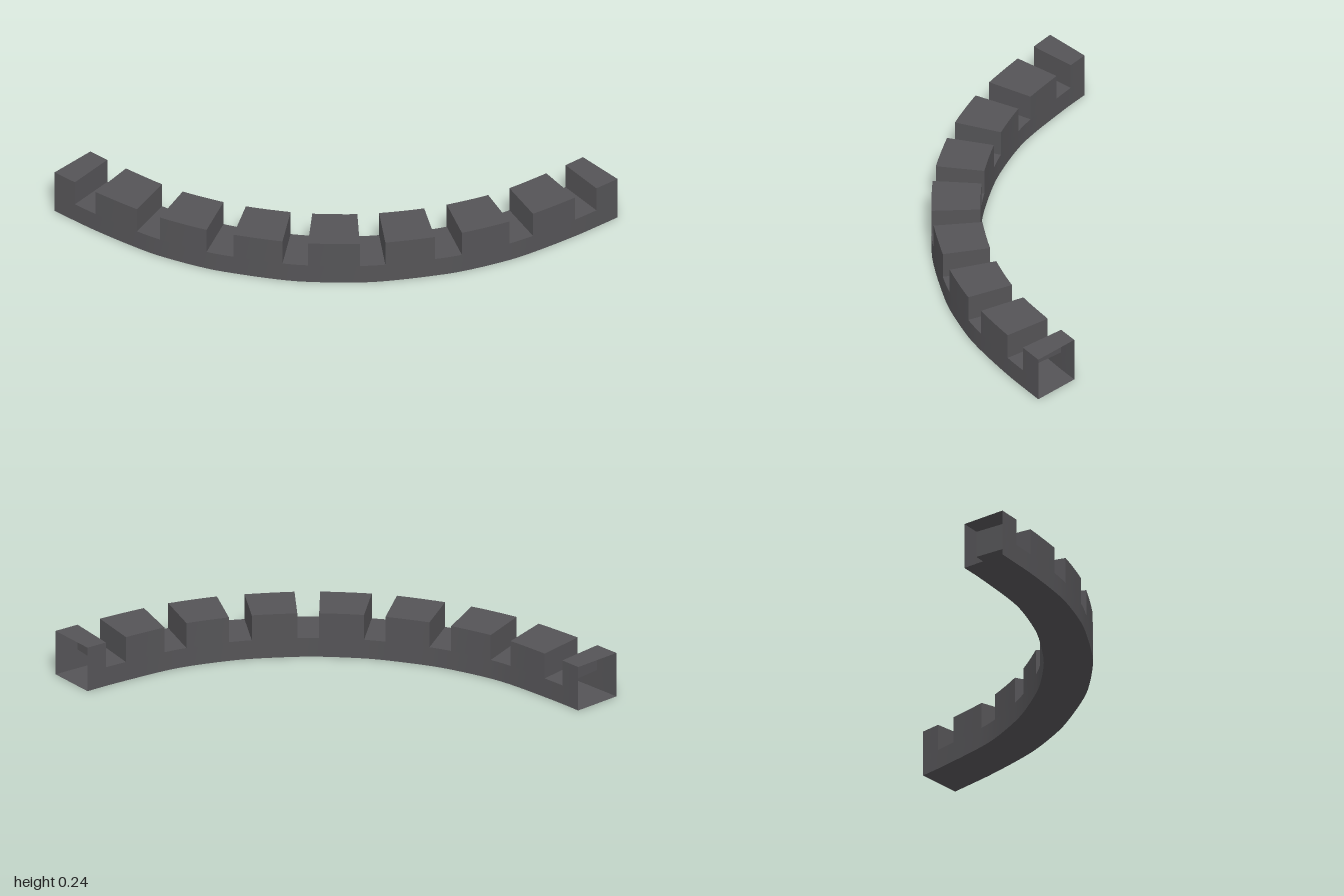
import * as THREE from 'three';
import { mergeGeometries } from 'three/addons/utils/BufferGeometryUtils.js';

const TOP = 0.243, FLOOR = 0.104;

// Half of each plan curve as (x, z) at the notch edges; the other half mirrors across x = z.
const OUTER = [[-1, 0.998], [-0.87, 0.981], [-0.74, 0.962], [-0.494, 0.912], [-0.365, 0.876],
  [-0.128, 0.778], [-0.006, 0.709], [0.205, 0.57], [0.305, 0.489]];
const INNER = [[-1, 0.748], [-0.891, 0.735], [-0.775, 0.717], [-0.556, 0.677], [-0.44, 0.644],
  [-0.235, 0.557], [-0.132, 0.501], [0.058, 0.372], [0.143, 0.303]];
const STEPS = OUTER.length * 2 - 1;

function planCurve(half) {
  const all = [...half, ...half.map(([x, z]) => [z, x]).reverse()];
  return new THREE.CatmullRomCurve3(all.map(([x, z]) => new THREE.Vector3(x, 0, z)));
}

const outerCurve = planCurve(OUTER), innerCurve = planCurve(INNER);

// A rail follows one plan curve at height y, from notch edge a to notch edge b.
const rail = (curve, y, a, b) => (s) => curve.getPoint((a + (b - a) * s) / STEPS).setY(y);

// Smooth ribbon of quads between two rails.
function ribbon(railA, railB, n) {
  const pos = [], index = [];
  for (let i = 0; i <= n; i++) {
    pos.push(...railA(i / n).toArray(), ...railB(i / n).toArray());
    if (i < n) {
      const k = i * 2;
      index.push(k, k + 2, k + 3, k, k + 3, k + 1);
    }
  }
  const g = new THREE.BufferGeometry();
  g.setAttribute('position', new THREE.Float32BufferAttribute(pos, 3));
  g.setIndex(index);
  g.computeVertexNormals();
  return g;
}

// Vertical wall across the band at notch edge u; dir is the way it faces along the curve.
function crossWall(u, dir) {
  const post = (curve) => (s) => curve.getPoint(u / STEPS).setY(FLOOR + (TOP - FLOOR) * s);
  return dir > 0 ? ribbon(post(innerCurve), post(outerCurve), 1)
    : ribbon(post(outerCurve), post(innerCurve), 1);
}

// Outer and inner side faces between two heights.
function sides(a, b, y0, y1, n) {
  return [
    ribbon(rail(outerCurve, y0, a, b), rail(outerCurve, y1, a, b), n),
    ribbon(rail(innerCurve, y1, a, b), rail(innerCurve, y0, a, b), n),
  ];
}

const cap = (y, a, b, n) => ribbon(rail(outerCurve, y, a, b), rail(innerCurve, y, a, b), n);

export function createModel() {
  const group = new THREE.Group();
  group.name = 'curvedBattlement';
  const stone = new THREE.MeshStandardMaterial({ color: 0x555457, side: THREE.DoubleSide });
  stone.name = 'darkGreyStone';

  const add = (name, parts) => {
    const mesh = new THREE.Mesh(mergeGeometries(parts), stone);
    mesh.name = name;
    group.add(mesh);
  };

  // Hollow lower band, open at both ends
  const n = STEPS * 4;
  add('lowerBand', [
    ...sides(0, STEPS, 0, FLOOR, n),
    ribbon(rail(innerCurve, 0, 0, STEPS), rail(outerCurve, 0, 0, STEPS), n),
  ]);

  // Raised blocks alternate with notch floors along the curve
  for (let i = 0; i < STEPS; i++) {
    if (i % 2) {
      add('notchFloor', [cap(FLOOR, i, i + 1, 4)]);
      continue;
    }
    const parts = [...sides(i, i + 1, FLOOR, TOP, 4), cap(TOP, i, i + 1, 4)];
    if (i > 0) parts.push(crossWall(i, -1));
    if (i < STEPS - 1) parts.push(crossWall(i + 1, 1));
    add('raisedBlock', parts);
  }
  return group;
}
